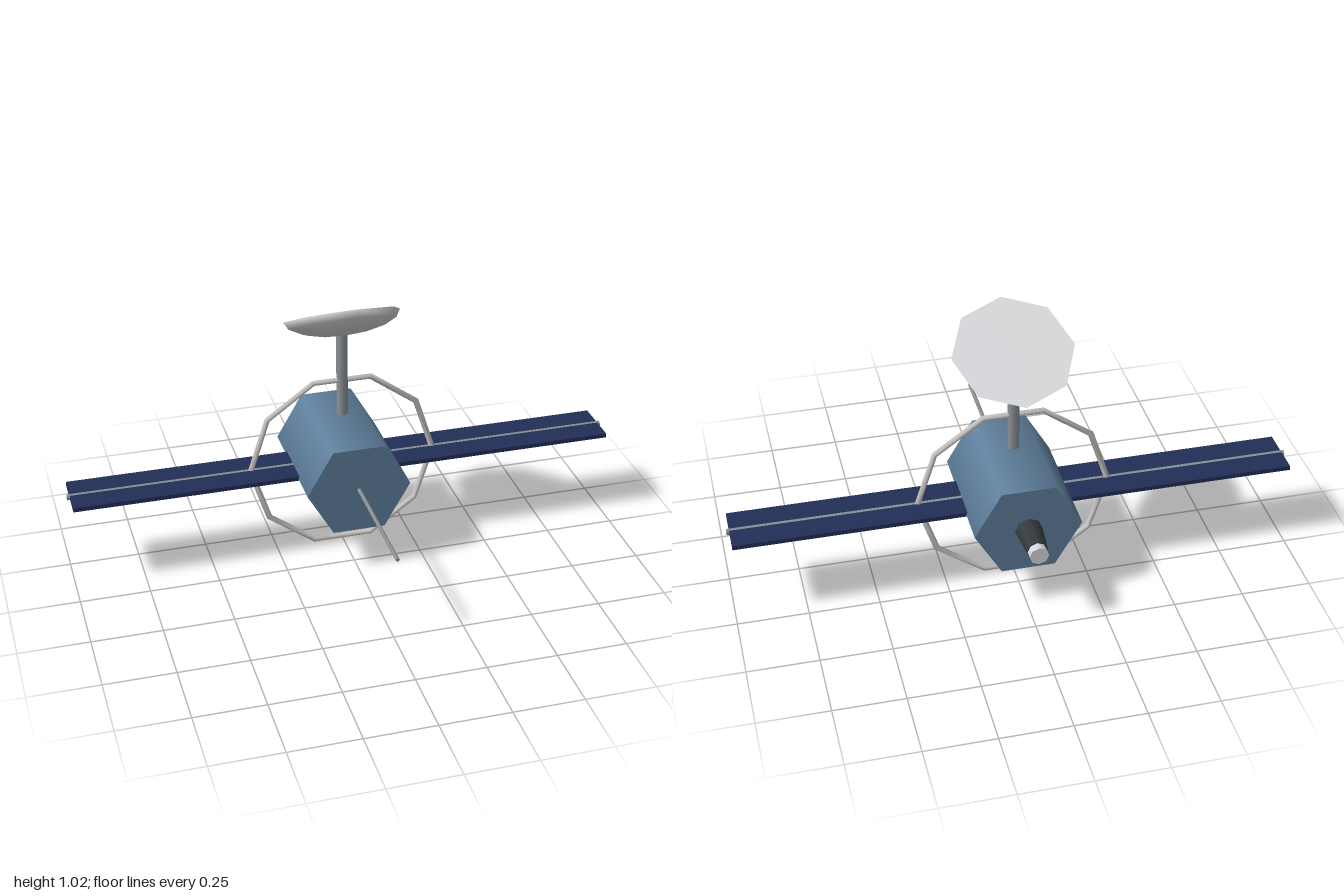
import * as THREE from 'three';

const material = (name, color) => {
  const m = new THREE.MeshStandardMaterial({ color });
  m.name = name;
  return m;
};

export function createModel() {
  const model = new THREE.Group();
  model.name = 'satellite';

  const steelBlue = material('steelBlue', 0x5f7f9c);
  const navy = material('navy', 0x222e58);
  const paleGrey = material('paleGrey', 0xd8dadd);
  const warmGrey = material('warmGrey', 0xcbc8c4);
  const midGrey = material('midGrey', 0x8c9398);
  const charcoal = material('charcoal', 0x32383d);

  const AXIS_Y = 0.337; // height of the hull axis
  const MID_Z = -0.161; // centre of hull, panels, ring and mast

  const add = (name, geometry, mat, x, y, z, parent = model) => {
    const mesh = new THREE.Mesh(geometry, mat);
    mesh.name = name;
    mesh.position.set(x, y, z);
    parent.add(mesh);
    return mesh;
  };

  // Cylinder along z, spanning zBack to zFront on the hull axis
  const alongZ = (name, mat, rFront, rBack, zFront, zBack, sides) => {
    const g = new THREE.CylinderGeometry(rFront, rBack, zFront - zBack, sides);
    g.rotateY(Math.PI / 2).rotateX(Math.PI / 2);
    return add(name, g, mat, 0, AXIS_Y, (zFront + zBack) / 2);
  };

  // Hexagonal hull, engine and front antenna
  alongZ('hull', steelBlue, 0.188, 0.188, 0.066, -0.387, 6);
  alongZ('engine', charcoal, 0.0485, 0.037, -0.38, -0.504, 8);
  alongZ('engineTip', paleGrey, 0.0335, 0.0335, -0.5, -0.533, 8);
  alongZ('frontAntenna', midGrey, 0.0075, 0.0075, 0.534, 0.05, 6);

  // Sensor box under the hull
  add('sensorBox', new THREE.BoxGeometry(0.07, 0.04, 0.124), charcoal, 0, 0.17, -0.093);

  // Solar panels with a spar through both
  for (const side of [1, -1]) {
    add(side > 0 ? 'leftPanel' : 'rightPanel',
      new THREE.BoxGeometry(0.83, 0.016, 0.188), navy, side * 0.575, AXIS_Y, MID_Z);
  }
  const spar = new THREE.CylinderGeometry(0.0105, 0.0105, 2, 6).rotateZ(Math.PI / 2);
  add('panelSpar', spar, midGrey, 0, AXIS_Y, MID_Z);

  // Ten-sided ring around the hull
  add('ring', new THREE.TorusGeometry(0.341, 0.011, 6, 10), warmGrey, 0, AXIS_Y, MID_Z);

  // Mast
  add('mast', new THREE.CylinderGeometry(0.021, 0.021, 0.345, 6), midGrey, 0, 0.7005, MID_Z);

  // Tilted dish: shallow bowl closed by a flat face
  const dish = new THREE.Group();
  dish.name = 'dish';
  dish.position.set(0, 0.913, -0.16);
  dish.rotation.x = -Math.PI / 6;
  model.add(dish);
  const bowl = new THREE.SphereGeometry(0.211, 8, 4, 0, Math.PI * 2, Math.PI / 2, Math.PI / 2);
  add('dishBowl', bowl.scale(1, 1 / 3, 1), paleGrey, 0, 0, 0, dish);
  add('dishFace', new THREE.CircleGeometry(0.211, 8).rotateX(-Math.PI / 2), paleGrey, 0, 0, 0, dish);

  return model;
}
